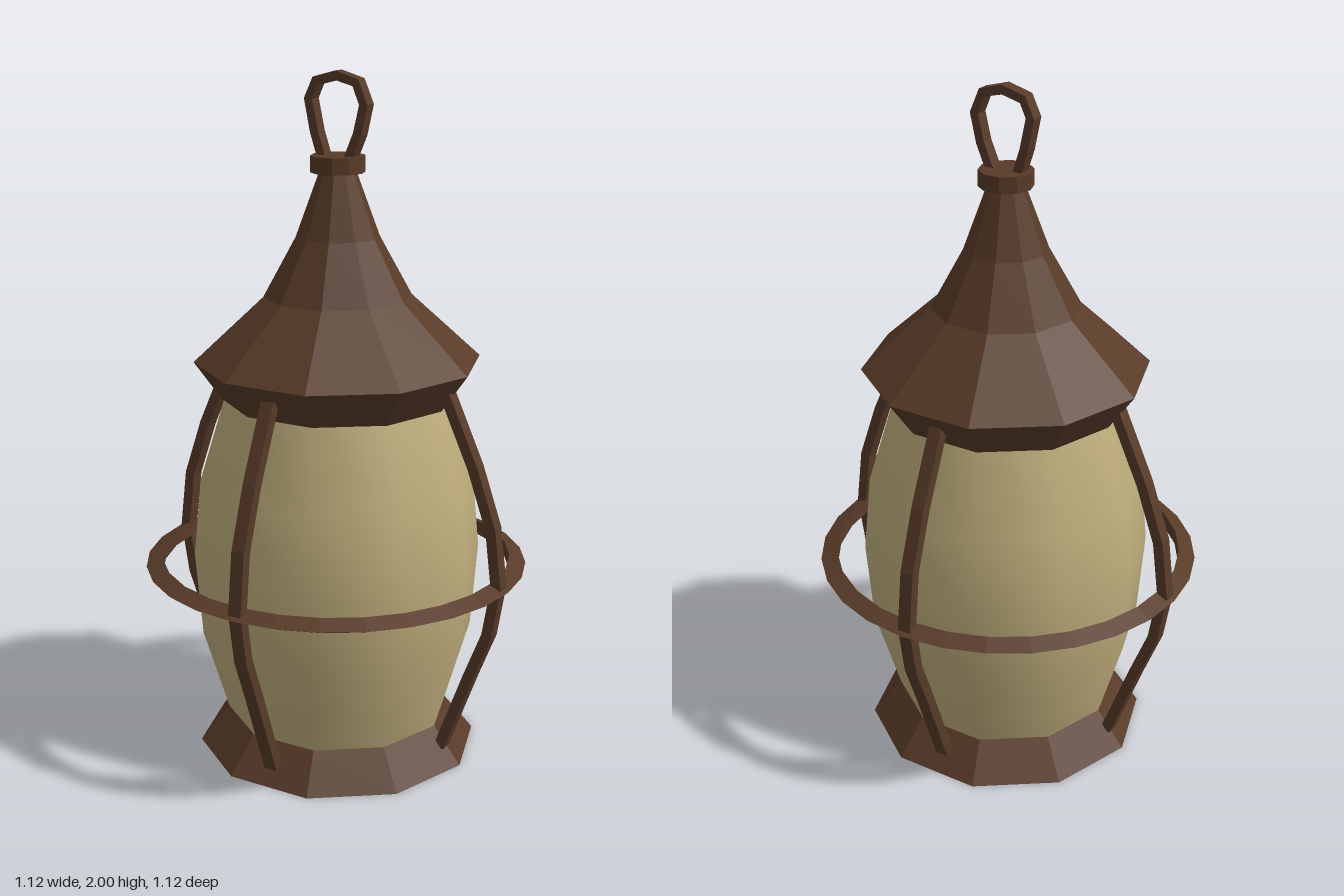
import * as THREE from 'three';

const metal = new THREE.MeshStandardMaterial({ color: 0x583b28 });
metal.name = 'brown metal';
const glass = new THREE.MeshStandardMaterial({ color: 0xc0af7c });
glass.name = 'cream glass';

const vec = ([x, y]) => new THREE.Vector2(x, y);

// Faceted solid of revolution, with a corner on the x axis
function turned(points, sides) {
  const g = new THREE.LatheGeometry(points.map(vec), sides, Math.PI / 2).toNonIndexed();
  g.computeVertexNormals();
  return g;
}

// Flat strip following a path in the xy plane, extruded along z
function strip(path, thickness, depth) {
  const pts = path.map(vec);
  const side = (s) => pts.map((p, i) => {
    const a = pts[Math.max(i - 1, 0)], b = pts[Math.min(i + 1, pts.length - 1)];
    const d = b.clone().sub(a).normalize();
    return new THREE.Vector2(p.x - d.y * s, p.y + d.x * s);
  });
  const shape = new THREE.Shape([...side(thickness / 2), ...side(-thickness / 2).reverse()]);
  return new THREE.ExtrudeGeometry(shape, { depth, bevelEnabled: false }).translate(0, 0, -depth / 2);
}

export function createModel() {
  const model = new THREE.Group();
  model.name = 'lantern';
  const add = (name, geometry, material, parent = model) => {
    const mesh = new THREE.Mesh(geometry, material);
    mesh.name = name;
    parent.add(mesh);
    return mesh;
  };

  // Ten-sided body
  const body = new THREE.Group();
  body.name = 'body';
  body.position.set(0.003, 0, -0.005);
  model.add(body);
  add('base', turned([[0, 0], [0.416, 0], [0.33, 0.107], [0, 0.107]], 10), metal, body);
  add('roof', turned([[0, 1.075], [0.335, 1.075], [0.413, 1.185], [0.212, 1.37],
    [0.119, 1.54], [0.053, 1.72], [0, 1.72]], 10), metal, body);
  add('collar', turned([[0, 1.72], [0.077, 1.72], [0.077, 1.767], [0, 1.767]], 10), metal, body);

  // Smooth bulging glass
  const profile = [[0.328, 0.1], [0.403, 0.35], [0.423, 0.6], [0.401, 0.83], [0.326, 1.08]];
  add('glass', new THREE.LatheGeometry(profile.map(vec), 10, Math.PI / 2), glass, body);

  // Carrying loop
  add('handle', strip([[-0.035, 1.755], [-0.06, 1.83], [-0.079, 1.92], [-0.056, 1.969],
    [0.008, 1.986], [0.071, 1.969], [0.096, 1.91], [0.077, 1.83], [0.045, 1.755]], 0.026, 0.037), metal);

  // Ring around the guard, triangular in section
  add('guardRing', turned([[0.512, 0.556], [0.56, 0.578], [0.512, 0.6], [0.512, 0.556]], 28), metal);

  // Four curved guard bars
  const bar = strip([[0.355, 1.14], [0.45, 0.93], [0.509, 0.76], [0.53, 0.59],
    [0.505, 0.44], [0.45, 0.3], [0.36, 0.055]], 0.031, 0.04);
  for (let i = 0; i < 4; i++) {
    add('guardBar' + (i + 1), bar, metal).rotation.y = i * Math.PI / 2;
  }
  return model;
}
